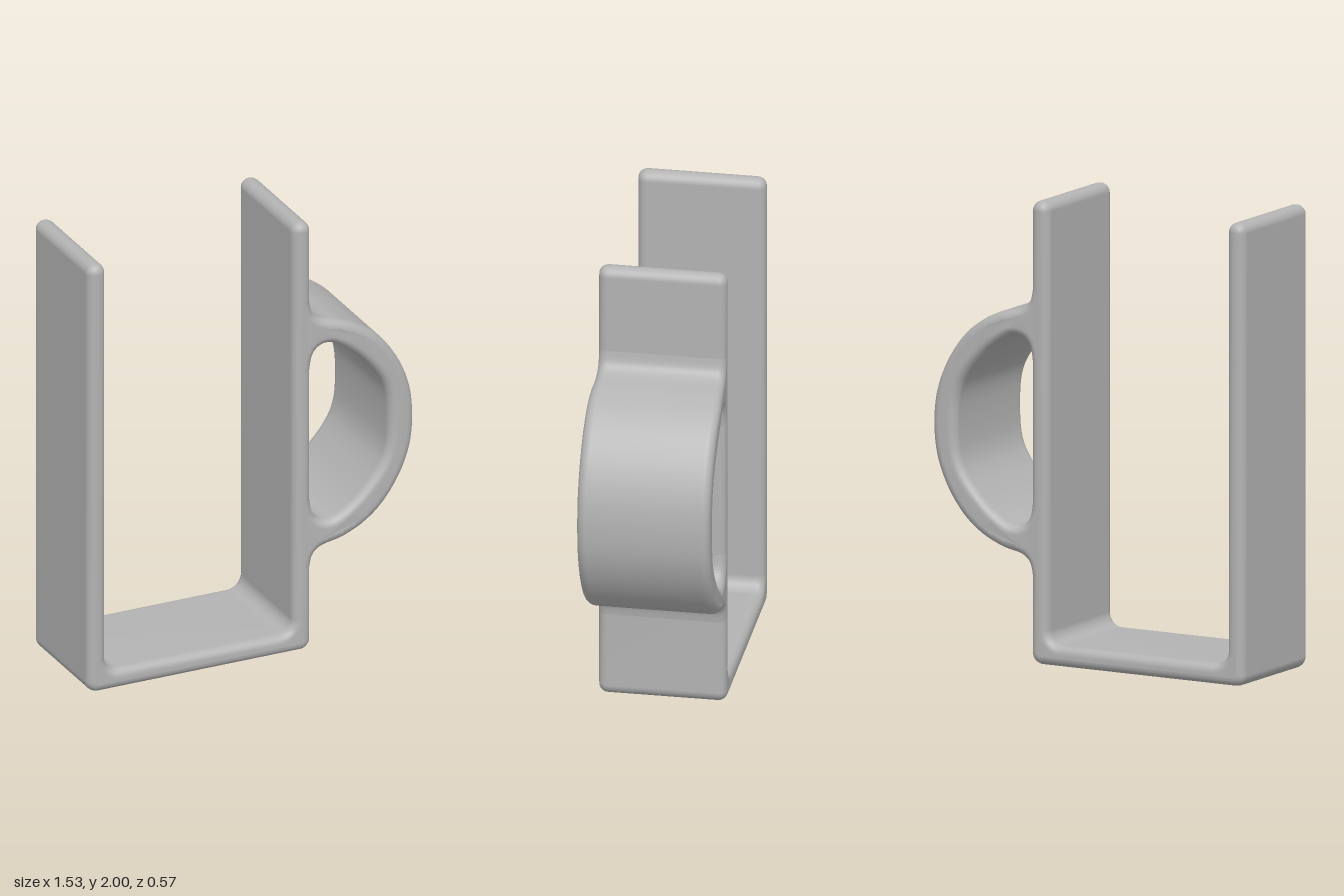
import * as THREE from 'three';
import { mergeVertices } from 'three/addons/utils/BufferGeometryUtils.js';

const HALF_DEPTH = 0.275, BEVEL = 0.036;

// Appends a lower curve (ending at mid height y = 1) and its mirror image
function mirrored(points) {
  const low = points.map(([x, y]) => new THREE.Vector2(x, y));
  const high = low.slice(0, -1).reverse().map((p) => new THREE.Vector2(p.x, 2 - p.y));
  return [...low, ...high];
}

function sideProfile() {
  const { PI } = Math;
  const s = new THREE.Shape();
  // base and outer lower corner
  s.moveTo(-0.715, 0);
  s.lineTo(0.235, 0);
  s.absarc(0.235, 0.05, 0.05, -PI / 2, 0, false);
  s.lineTo(0.285, 0.38);
  // outer curve of the handle, flared into the wall
  s.splineThru(mirrored([
    [0.299, 0.435], [0.34, 0.468], [0.43, 0.492], [0.53, 0.54],
    [0.62, 0.615], [0.7, 0.73], [0.75, 0.86], [0.765, 1],
  ]).concat(new THREE.Vector2(0.285, 1.62)));
  // handle-side wall with rounded tip
  s.lineTo(0.285, 1.9575);
  s.absarc(0.2425, 1.9575, 0.0425, 0, PI, false);
  // inside of the channel
  s.lineTo(0.2, 0.15);
  s.absarc(0.14, 0.15, 0.06, 0, -PI / 2, true);
  s.lineTo(-0.62, 0.09);
  s.absarc(-0.62, 0.15, 0.06, -PI / 2, -PI, true);
  // plain wall with rounded tip and outer lower corner
  s.lineTo(-0.68, 1.9575);
  s.absarc(-0.7225, 1.9575, 0.0425, 0, PI, false);
  s.lineTo(-0.765, 0.05);
  s.absarc(-0.715, 0.05, 0.05, PI, 1.5 * PI, false);

  // finger opening
  const hole = new THREE.Path();
  hole.moveTo(0.285, 0.7);
  hole.splineThru(mirrored([
    [0.295, 0.64], [0.32, 0.602], [0.36, 0.588], [0.41, 0.602],
    [0.5, 0.668], [0.595, 0.775], [0.638, 0.87], [0.648, 1],
  ]).concat(new THREE.Vector2(0.285, 1.3)));
  hole.lineTo(0.285, 0.7);
  s.holes.push(hole);
  return s;
}

export function createModel() {
  const grey = new THREE.MeshStandardMaterial({ color: 0xb3b3b3 });
  grey.name = 'grey';

  let geo = new THREE.ExtrudeGeometry(sideProfile(), {
    depth: 2 * (HALF_DEPTH - 0.04), curveSegments: 6,
    bevelThickness: 0.04, bevelSize: BEVEL, bevelOffset: -BEVEL, bevelSegments: 5,
  });
  geo.translate(0, 0, 0.04 - HALF_DEPTH);

  // the handle is slightly wider than the walls
  const pos = geo.attributes.position;
  for (let i = 0; i < pos.count; i++) {
    const widen = 1 + 0.04 * THREE.MathUtils.smoothstep(pos.getX(i), 0.27, 0.5);
    pos.setZ(i, pos.getZ(i) * widen);
  }

  // smooth normals over the whole rounded body
  geo.deleteAttribute('uv');
  geo.deleteAttribute('normal');
  geo.clearGroups();
  geo = mergeVertices(geo, 1e-5);
  geo.computeVertexNormals();

  const body = new THREE.Mesh(geo, grey);
  body.name = 'channelWithHandle';
  const model = new THREE.Group();
  model.name = 'handledBracket';
  model.add(body);
  return model;
}
